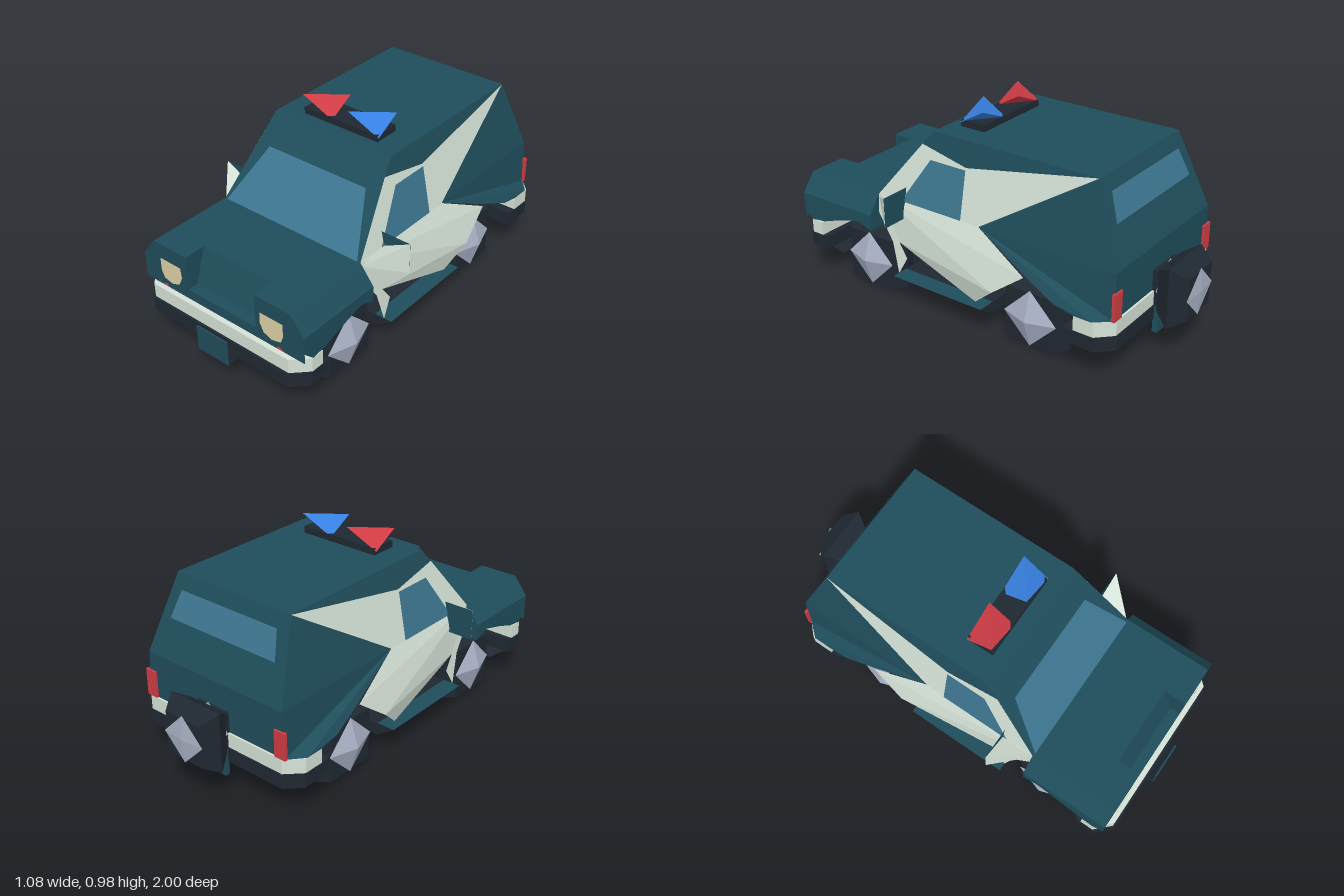
import * as THREE from 'three';

const mat = (name, color) => {
  const m = new THREE.MeshStandardMaterial({ color, flatShading: true, side: THREE.DoubleSide });
  m.name = name;
  return m;
};

export function createModel() {
  const teal = mat('teal paint', 0x1f4d5b), cream = mat('cream paint', 0xd5e2d7);
  const dark = mat('dark rubber', 0x1f2831), glass = mat('window glass', 0x3d7690);
  const red = mat('red lamp', 0xcf3c45), blue = mat('blue lamp', 0x3780e0);
  const tan = mat('headlight', 0xddd0a3), grey = mat('hub metal', 0xa8b0c4);
  const root = new THREE.Group();
  root.name = 'patrolCar';

  const add = (name, m, geo) => {
    const mesh = new THREE.Mesh(geo, m);
    mesh.name = name;
    root.add(mesh);
  };
  const box = (name, m, x0, x1, y0, y1, z0, z1) =>
    add(name, m, new THREE.BoxGeometry(x1 - x0, y1 - y0, z1 - z0)
      .translate((x0 + x1) / 2, (y0 + y1) / 2, (z0 + z1) / 2));

  // Flat convex polygons, each split into a fan of triangles
  const faces = (name, m, polys) => {
    const p = [];
    for (const f of polys)
      for (let i = 1; i < f.length - 1; i++) p.push(...f[0], ...f[i], ...f[i + 1]);
    const g = new THREE.BufferGeometry();
    g.setAttribute('position', new THREE.Float32BufferAttribute(p, 3));
    g.computeVertexNormals();
    add(name, m, g);
  };
  const mirrorX = polys => polys.map(f => f.map(([x, y, z]) => [-x, y, z]).reverse());
  const pair = (name, m, polys) => {
    faces('left' + name, m, polys);
    faces('right' + name, m, mirrorX(polys));
  };

  // Side outline given as [z, y], pushed out to x by a rule, on both sides
  const panel = (name, m, pts, xOf) => {
    const flat = new THREE.ShapeGeometry(new THREE.Shape(pts.map(([z, y]) => new THREE.Vector2(-z, y)))).toNonIndexed();
    const a = flat.attributes.position, polys = [];
    const v = i => [xOf(a.getY(i), -a.getX(i)), a.getY(i), -a.getX(i)];
    for (let i = 0; i < a.count; i += 3) polys.push([v(i), v(i + 1), v(i + 2)]);
    pair(name, m, polys);
  };
  const clamp = t => Math.min(1, Math.max(0, t));
  const cabinX = y => 0.4 - (y - 0.52) * 0.195;
  const fenderX = y => 0.4 + 0.07 * clamp((0.52 - y) / 0.09);
  const rearX = (y, z) => 0.4 + (z < -0.8 ? 0.01 : 0.07) * clamp((0.52 - y) / 0.2);
  const doorX = (y, z) => (z < -0.15 ? rearX(y, z) : 0.4 + 0.03 * clamp((0.52 - y) / 0.36));

  // Cabin sides
  panel('CabinSide', cream, [[0.49, 0.52], [0.257, 0.81], [0, 0.76], [-0.67, 0.88], [-0.1, 0.52]], cabinX);
  panel('RoofEdge', teal, [[0.257, 0.81], [0.2, 0.88], [-0.67, 0.88], [0, 0.76]], cabinX);
  panel('RearQuarter', teal, [[-0.1, 0.52], [-0.67, 0.88], [-0.81, 0.52]], cabinX);
  panel('SideWindow', glass, [[0.35, 0.522], [0.2, 0.75], [0, 0.75], [0, 0.522]], y => cabinX(y) + 0.004);
  panel('Door', cream, [[0.49, 0.52], [0.5, 0.44], [0.4, 0.3], [0.36, 0.15], [0.31, 0.24], [0.36, 0.31],
    [-0.1, 0.155], [-0.22, 0.26], [-0.38, 0.38], [-0.1, 0.52]], doorX);
  panel('RearFender', teal, [[-0.1, 0.52], [-0.38, 0.39], [-0.55, 0.32], [-0.65, 0.3], [-0.74, 0.3], [-0.81, 0.3], [-0.81, 0.52]], rearX);

  // Roof, windscreen and tailgate
  faces('roof', teal, [[[-0.33, 0.88, 0.2], [0.33, 0.88, 0.2], [0.33, 0.88, -0.67], [-0.33, 0.88, -0.67]]]);
  const slopeZ = y => 0.49 - (y - 0.52) * 0.806;
  faces('windscreenFrame', teal, [[[-0.4, 0.52, 0.49], [0.4, 0.52, 0.49], [0.33, 0.88, 0.2], [-0.33, 0.88, 0.2]]]);
  faces('windscreen', glass, [[[-0.385, 0.522, slopeZ(0.522) + 0.006], [0.385, 0.522, slopeZ(0.522) + 0.006],
    [0.28, 0.755, slopeZ(0.755) + 0.006], [-0.28, 0.755, slopeZ(0.755) + 0.006]]]);
  faces('tailgate', teal, [
    [[0.33, 0.88, -0.67], [0.4, 0.52, -0.81], [-0.4, 0.52, -0.81], [-0.33, 0.88, -0.67]],
    [[0.4, 0.52, -0.81], [0.41, 0.3, -0.81], [-0.41, 0.3, -0.81], [-0.4, 0.52, -0.81]]]);
  const tailZ = y => -0.67 - (0.88 - y) * 0.389 - 0.005;
  faces('rearWindow', glass, [[[0.28, 0.815, tailZ(0.815)], [0.31, 0.69, tailZ(0.69)],
    [-0.31, 0.69, tailZ(0.69)], [-0.28, 0.815, tailZ(0.815)]]]);

  // Bonnet with a notch at the nose, front fenders and the sloping grille
  faces('bonnet', teal, [
    [[-0.4, 0.52, 0.82], [0.4, 0.52, 0.82], [0.4, 0.52, 0.49], [-0.4, 0.52, 0.49]],
    ...[1, -1].map(s => [[s * 0.2, 0.52, 0.82], [s * 0.2, 0.52, 0.93], [s * 0.4, 0.52, 0.93], [s * 0.4, 0.52, 0.82]])]);
  panel('FenderTop', teal, [[0.93, 0.52], [0.93, 0.43], [0.49, 0.43], [0.49, 0.52]], fenderX);
  panel('FenderSide', teal, [[0.93, 0.43], [0.93, 0.35], [0.88, 0.3], [0.8, 0.31], [0.7, 0.345],
    [0.57, 0.38], [0.49, 0.35], [0.49, 0.43]], fenderX);
  pair('FenderBack', teal, [[[0.4, 0.52, 0.49], [0.47, 0.43, 0.49], [0.47, 0.35, 0.49], [0.38, 0.35, 0.49]]]);
  pair('FrontCorner', teal, [
    [[0.2, 0.52, 0.93], [0.2, 0.3, 0.93], [0.47, 0.3, 0.93], [0.47, 0.43, 0.93], [0.4, 0.52, 0.93]],
    [[0.2, 0.52, 0.93], [0.2, 0.52, 0.82], [0.2, 0.35, 0.88], [0.2, 0.35, 0.93]]]);
  faces('grille', teal, [
    [[-0.2, 0.35, 0.88], [0.2, 0.35, 0.88], [0.2, 0.52, 0.82], [-0.2, 0.52, 0.82]],
    [[-0.2, 0.35, 0.93], [0.2, 0.35, 0.93], [0.2, 0.35, 0.88], [-0.2, 0.35, 0.88]],
    [[-0.2, 0.3, 0.93], [0.2, 0.3, 0.93], [0.2, 0.35, 0.93], [-0.2, 0.35, 0.93]]]);
  pair('Headlight', tan, [[[0.36, 0.45, 0.936], [0.235, 0.45, 0.936], [0.23, 0.4, 0.936], [0.25, 0.355, 0.936],
    [0.295, 0.338, 0.936], [0.345, 0.35, 0.936], [0.36, 0.385, 0.936]]]);
  pair('Indicator', red, [[[0.32, 0.308, 0.936], [0.37, 0.308, 0.936], [0.33, 0.325, 0.936]]]);

  // Bumpers: chamfered plan outlines raised between two heights
  const bumper = (name, m, y0, y1, zIn, zOut) => {
    const c = zOut - Math.sign(zOut) * 0.07;
    const s = new THREE.Shape([[0.47, zIn], [0.47, c], [0.4, zOut], [-0.4, zOut], [-0.47, c], [-0.47, zIn]]
      .map(([x, z]) => new THREE.Vector2(x, -z)));
    add(name, m, new THREE.ExtrudeGeometry(s, { depth: y1 - y0, bevelEnabled: false }).rotateX(-Math.PI / 2).translate(0, y0, 0));
  };
  bumper('frontBumperTrim', cream, 0.23, 0.3, 0.82, 0.955);
  bumper('frontBumper', dark, 0.16, 0.23, 0.79, 0.965);
  bumper('rearBumperTrim', cream, 0.23, 0.3, -0.65, -0.82);
  bumper('rearBumper', dark, 0.16, 0.23, -0.6, -0.825);
  faces('frontSkirt', dark, [
    [[-0.47, 0.16, 0.895], [-0.4, 0.16, 0.965], [-0.36, 0.088, 0.8], [0.36, 0.088, 0.8], [0.4, 0.16, 0.965], [0.47, 0.16, 0.895]]]);

  // Number plates without lettering
  faces('frontPlateMount', dark, [1, -1].map(s =>
    [[s * 0.11, 0.22, 0.955], [s * 0.09, 0.25, 0.995], [s * 0.09, 0.125, 0.995], [s * 0.11, 0.15, 0.955]])
    .concat([[[-0.11, 0.22, 0.955], [0.11, 0.22, 0.955], [0.09, 0.25, 0.995], [-0.09, 0.25, 0.995]],
      [[-0.11, 0.15, 0.955], [0.11, 0.15, 0.955], [0.09, 0.125, 0.995], [-0.09, 0.125, 0.995]]]));
  box('frontPlate', teal, -0.09, 0.09, 0.125, 0.25, 0.992, 1);
  box('rearPlate', teal, -0.09, 0.09, 0.095, 0.22, -0.845, -0.82);

  // Tail lamps
  for (const s of [1, -1])
    box('tailLamp', red, s * 0.39 - 0.03, s * 0.39 + 0.03, 0.3, 0.43, -0.82, -0.805);

  // Sills that taper inwards below a painted step, and the floor
  pair('Sill', dark, [
    [[0.47, 0.15, 0.36], [0.38, 0.09, 0.36], [0.38, 0.09, -0.16], [0.47, 0.15, -0.16]],
    [[0.47, 0.15, 0.36], [0.38, 0.15, 0.36], [0.38, 0.09, 0.36]],
    [[0.47, 0.15, -0.16], [0.38, 0.09, -0.16], [0.38, 0.15, -0.16]]]);
  pair('SillStep', teal, [[[0.38, 0.152, 0.36], [0.47, 0.152, 0.36], [0.47, 0.152, -0.16], [0.38, 0.152, -0.16]]]);
  box('floor', dark, -0.38, 0.38, 0.09, 0.15, -0.16, 0.36);
  box('frontFloor', dark, -0.25, 0.25, 0.09, 0.15, 0.36, 0.8);
  box('rearFloor', dark, -0.25, 0.25, 0.09, 0.15, -0.6, -0.16);
  faces('rearSkirt', dark, [[[-0.25, 0.09, -0.6], [0.25, 0.09, -0.6], [0.4, 0.16, -0.78], [-0.4, 0.16, -0.78]]]);

  // Wing mirrors: cream wedge in front, teal back
  const tip = [0.4, 0.5, 0.49], rim = [[0.4, 0.52, 0.33], [0.54, 0.59, 0.33], [0.54, 0.44, 0.33], [0.41, 0.44, 0.33]];
  pair('MirrorShell', cream, rim.map((p, i) => [tip, p, rim[(i + 1) % 4]]));
  pair('MirrorBack', teal, [[[0.38, 0.59, 0.329], [0.54, 0.59, 0.329], [0.54, 0.44, 0.329], [0.38, 0.44, 0.329]]]);

  // Four-sided wheels with diamond hubs, axis along local y
  const Q = Math.SQRT2;
  const wheel = (name, half, rMid, rEnd, hubR, hubOut) => {
    const g = new THREE.Group();
    g.name = name;
    const profile = [[0, -half], [rEnd * Q, -half], [rMid * Q, 0], [rEnd * Q, half], [0, half]];
    const tyre = new THREE.Mesh(new THREE.LatheGeometry(profile.map(p => new THREE.Vector2(...p)), 4, Math.PI / 4), dark);
    tyre.name = 'tyre';
    g.add(tyre);
    for (const s of [1, -1]) {
      const hub = new THREE.Mesh(new THREE.ConeGeometry(hubR, hubOut, 4).translate(0, half + hubOut / 2, 0), grey);
      hub.name = 'hub';
      if (s < 0) hub.rotation.x = Math.PI;
      g.add(hub);
    }
    root.add(g);
    return g;
  };
  for (const s of [1, -1]) for (const z of [0.57, -0.38]) {
    const w = wheel(z > 0 ? 'frontWheel' : 'rearWheel', 0.09, 0.153, 0.13, 0.14, 0.045);
    w.rotation.z = Math.PI / 2;
    w.position.set(s * 0.31, 0.153, z);
  }
  const spare = wheel('spareWheel', 0.075, 0.145, 0.1, 0.115, 0.01);
  spare.rotation.x = Math.PI / 2;
  spare.position.set(0, 0.315, -0.915);
  box('spareMount', dark, -0.09, 0.09, 0.23, 0.4, -0.845, -0.8);

  // Roof light bar with four-faced lamps
  box('lightBarBase', dark, -0.21, 0.21, 0.88, 0.912, 0.01, 0.14);
  const lamp = (name, m, x0, x1) => {
    const a = [x0, 0.975, 0.14], b = [x1, 0.9, 0.14], c = [x1, 0.975, 0.01], d = [x0, 0.9, 0.01];
    faces(name, m, [[a, b, c], [a, c, d], [a, d, b], [b, d, c]]);
  };
  lamp('redLamp', red, -0.22, -0.047);
  lamp('blueLamp', blue, 0.045, 0.217);

  return root;
}
